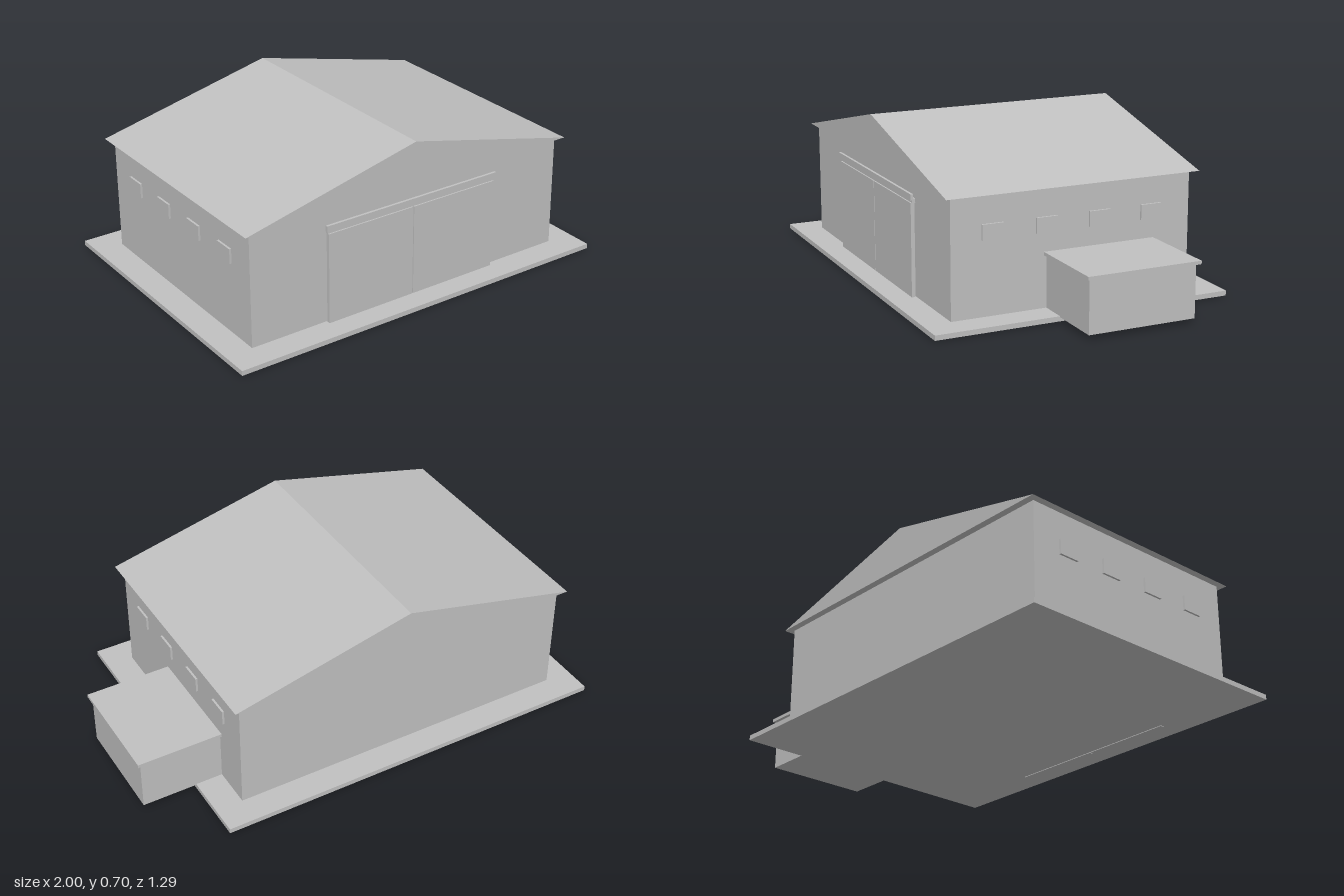
import * as THREE from 'three';

export function createModel() {
  const model = new THREE.Group();
  model.name = 'warehouse';
  const grey = new THREE.MeshStandardMaterial({ color: 0xc0c0c0 });
  grey.name = 'plain grey';

  // Box given by its lower and upper limits on each axis
  const box = (name, x0, x1, y0, y1, z0, z1) => {
    const mesh = new THREE.Mesh(new THREE.BoxGeometry(x1 - x0, y1 - y0, z1 - z0), grey);
    mesh.position.set((x0 + x1) / 2, (y0 + y1) / 2, (z0 + z1) / 2);
    mesh.name = name;
    model.add(mesh);
  };

  const hallX = -0.125; // centre line of the main hall
  const halfHall = 0.757;

  // Ground slab and main hall
  box('groundSlab', -1, 0.75, 0.003, 0.024, -0.645, 0.645);
  box('hallWalls', hallX - halfHall, hallX + halfHall, 0.024, 0.519, -0.526, 0.528);

  // Solid gable roof overhanging on all sides
  const gable = new THREE.Shape();
  gable.moveTo(-0.787, 0.517);
  gable.lineTo(0.787, 0.517);
  gable.lineTo(0, 0.703);
  gable.closePath();
  const roof = new THREE.Mesh(
    new THREE.ExtrudeGeometry(gable, { depth: 1.112, bevelEnabled: false }), grey);
  roof.position.set(hallX, 0, -0.556);
  roof.name = 'gableRoof';
  model.add(roof);

  // Pair of sliding doors with their rail; the doors run down through the slab
  for (const side of [-1, 1]) {
    const inner = hallX + side * 0.002, outer = hallX + side * 0.41;
    box(side < 0 ? 'rightDoor' : 'leftDoor',
      Math.min(inner, outer), Math.max(inner, outer), 0, 0.417, 0.532, 0.548);
  }
  box('railBacking', hallX - 0.41, hallX + 0.41, 0.415, 0.434, 0.526, 0.542);
  box('doorRail', hallX - 0.42, hallX + 0.42, 0.429, 0.455, 0.541, 0.552);

  // Four small windows along each long wall
  for (const side of [-1, 1]) {
    for (const z of [0.352, 0.119, -0.115, -0.348]) {
      const wall = hallX + side * (halfHall - 0.002), face = hallX + side * (halfHall + 0.009);
      box('window', Math.min(wall, face), Math.max(wall, face),
        0.334, 0.398, z - 0.046, z + 0.046);
    }
  }

  // Side annex with a flat roof
  box('annexWalls', 0.63, 0.985, 0.02, 0.242, -0.348, 0.117);
  box('annexRoof', 0.63, 1, 0.241, 0.255, -0.363, 0.13);

  return model;
}
